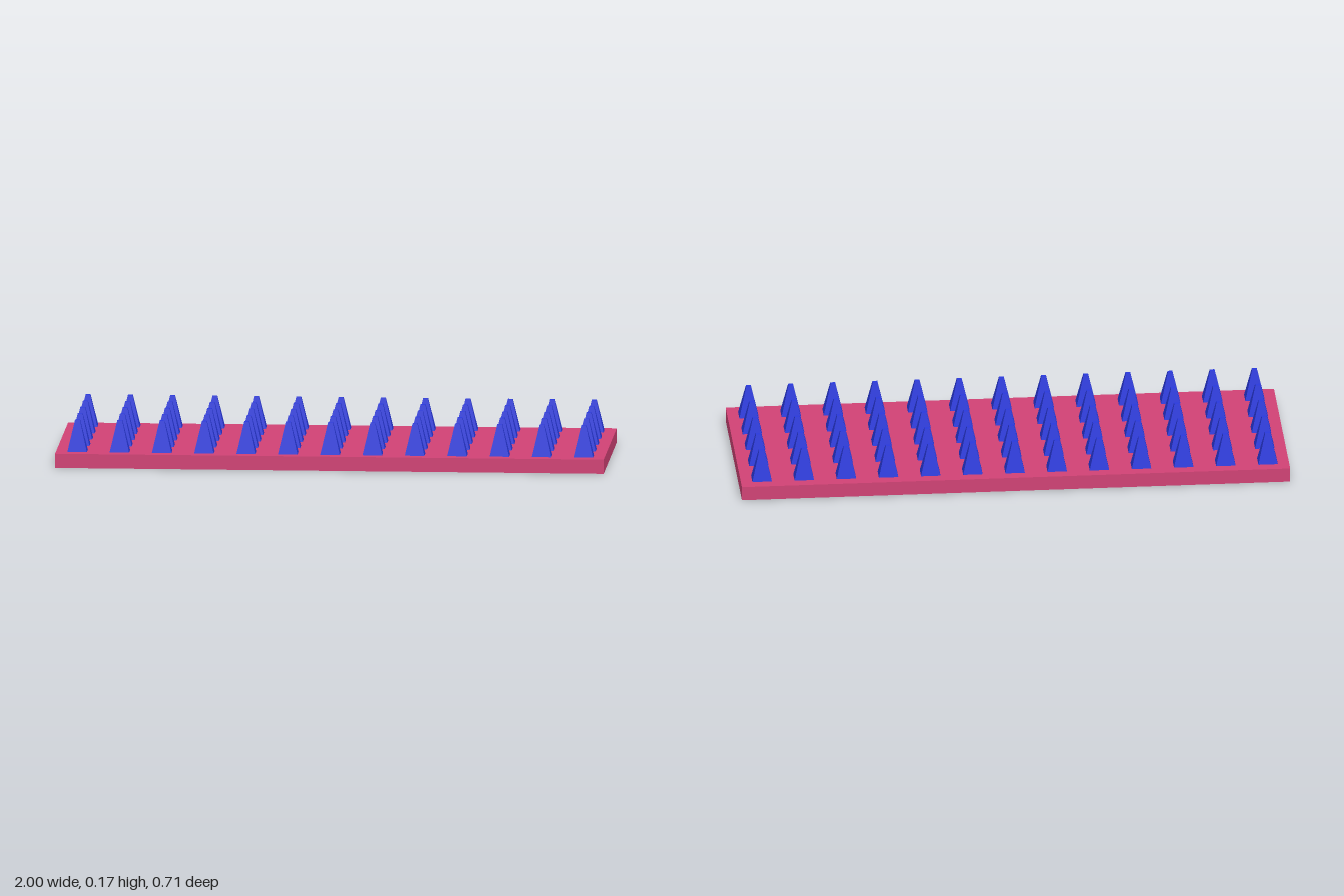
import * as THREE from 'three';

const BASE = { w: 2, h: 0.052, d: 0.71 };
const SPIKE = { w: 0.071, h: 0.115, d: 0.058, taper: 0.25 };
const COLS = 13, ROWS = 5, STEP_X = 0.1538, STEP_Z = 0.142;

// Box whose top face is shrunk to make a blunt four-sided spike, standing on y = 0
function spikeGeometry() {
  const geo = new THREE.BoxGeometry(SPIKE.w, SPIKE.h, SPIKE.d);
  geo.translate(0, SPIKE.h / 2, 0);
  const p = geo.attributes.position;
  for (let i = 0; i < p.count; i++) {
    if (p.getY(i) > SPIKE.h / 2) {
      p.setX(i, p.getX(i) * SPIKE.taper);
      p.setZ(i, p.getZ(i) * SPIKE.taper);
    }
  }
  geo.computeVertexNormals();
  return geo;
}

export function createModel() {
  const group = new THREE.Group();
  group.name = 'spikeBoard';

  // Flat base slab
  const base = new THREE.Mesh(
    new THREE.BoxGeometry(BASE.w, BASE.h, BASE.d),
    new THREE.MeshStandardMaterial({ color: 0xd04275 })
  );
  base.name = 'base';
  base.position.y = BASE.h / 2;
  group.add(base);

  // Grid of spikes
  const spikes = new THREE.Group();
  spikes.name = 'spikes';
  const geo = spikeGeometry();
  const blue = new THREE.MeshStandardMaterial({ color: 0x2838dc, flatShading: true });
  for (let r = 0; r < ROWS; r++) {
    for (let c = 0; c < COLS; c++) {
      const spike = new THREE.Mesh(geo, blue);
      spike.name = 'spike';
      spike.position.set((c - (COLS - 1) / 2) * STEP_X, BASE.h, (r - (ROWS - 1) / 2) * STEP_Z);
      spikes.add(spike);
    }
  }
  group.add(spikes);
  return group;
}
